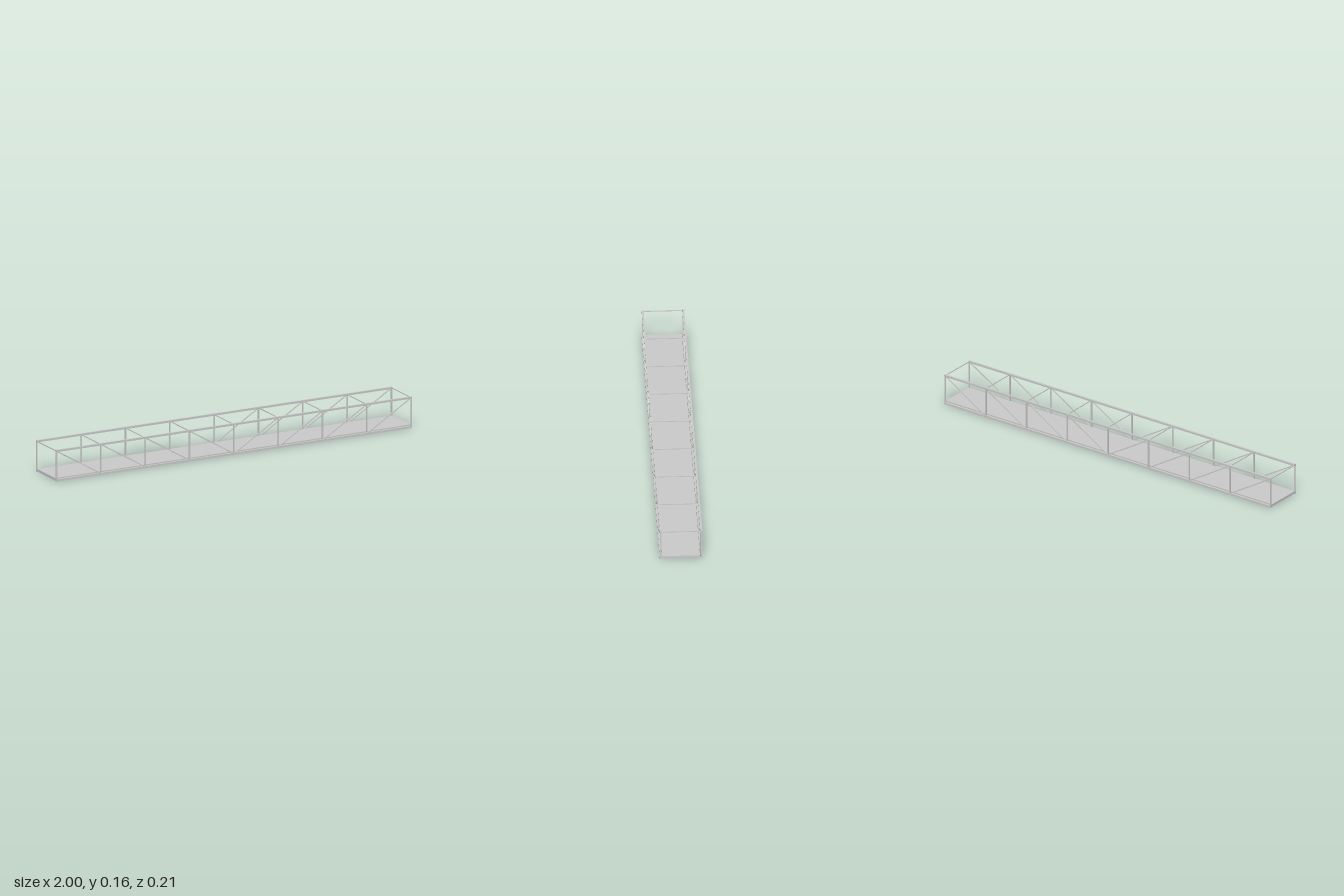
import * as THREE from 'three';

export function createModel() {
  const model = new THREE.Group();
  const material = new THREE.MeshStandardMaterial({ color: 0xcccccc });
  const panels = 8, halfSpan = 0.997, halfWidth = 0.1, low = 0.005, high = 0.155;
  const stationX = (i) => -halfSpan + (2 * halfSpan * i) / panels;

  const addBox = (parent, name, w, h, d, x, y, z) => {
    const mesh = new THREE.Mesh(new THREE.BoxGeometry(w, h, d), material);
    mesh.name = name;
    mesh.position.set(x, y, z);
    parent.add(mesh);
    return mesh;
  };

  // Walkway slab between the bottom chords
  addBox(model, 'deck', 2, 0.01, 0.186, 0, 0.01, 0);

  // Two mirrored side trusses
  for (const side of [1, -1]) {
    const truss = new THREE.Group();
    truss.name = side > 0 ? 'frontTruss' : 'backTruss';
    truss.position.z = side * halfWidth;
    model.add(truss);

    addBox(truss, 'bottomChord', 2, 0.01, 0.01, 0, low, 0);
    addBox(truss, 'topChord', 2, 0.01, 0.01, 0, high, 0);

    for (let i = 0; i <= panels; i++) {
      addBox(truss, 'post', 0.006, high - low, 0.006, stationX(i), (low + high) / 2, 0);
    }

    // Diagonals lean down towards midspan
    for (let i = 0; i < panels; i++) {
      const dx = stationX(i + 1) - stationX(i);
      const dy = (high - low) * (i < panels / 2 ? -1 : 1);
      const brace = addBox(truss, 'diagonal', Math.hypot(dx, dy), 0.005, 0.005,
        stationX(i) + dx / 2, (low + high) / 2, 0);
      brace.rotation.z = Math.atan2(dy, dx);
    }
  }

  // Cross members at every post
  for (let i = 0; i <= panels; i++) {
    addBox(model, 'floorBeam', 0.006, 0.006, 2 * halfWidth, stationX(i), low, 0);
    addBox(model, 'topStrut', 0.004, 0.004, 2 * halfWidth, stationX(i), high, 0);
  }
  return model;
}
